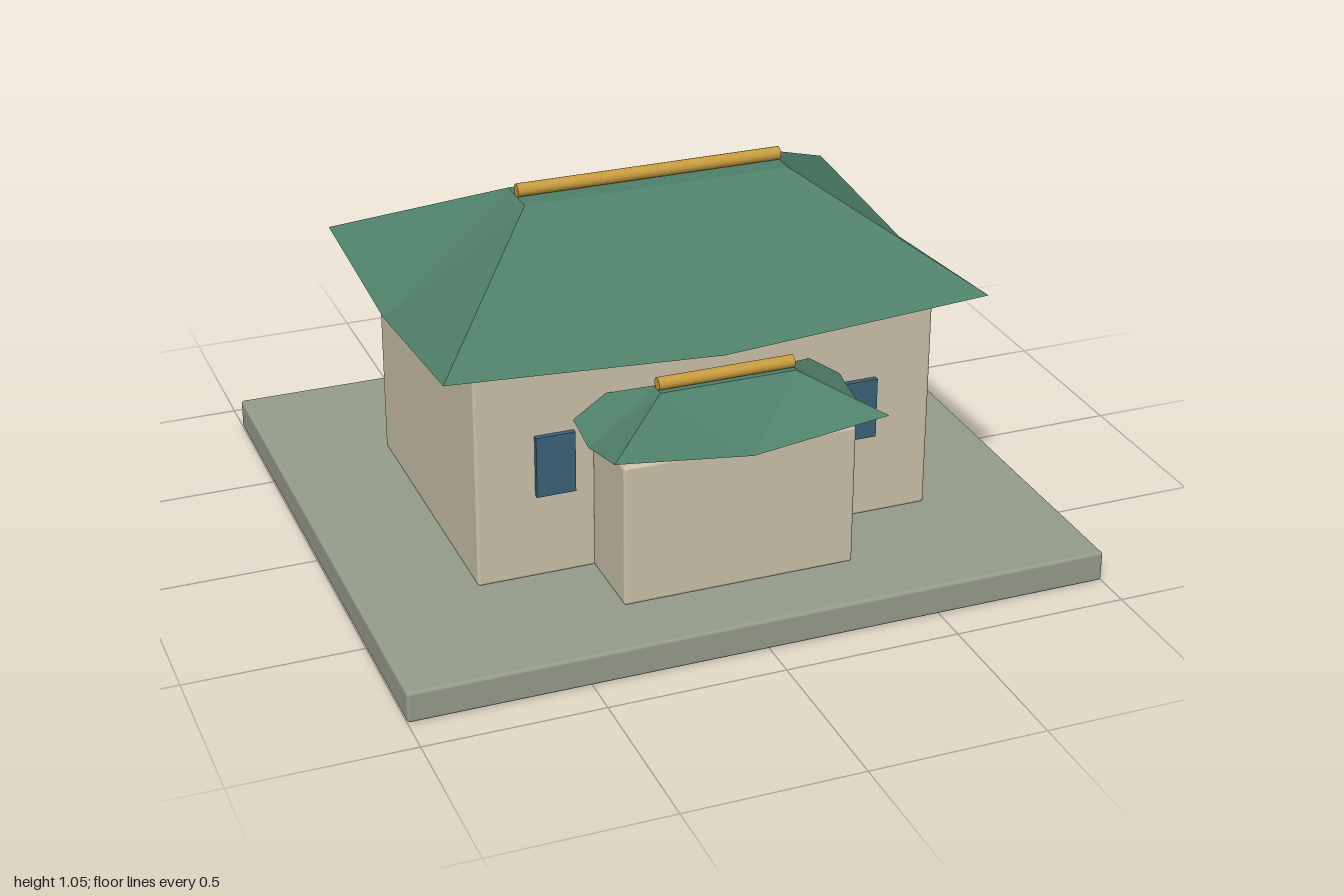
import * as THREE from 'three';
import { RoundedBoxGeometry } from 'three/addons/geometries/RoundedBoxGeometry.js';

const mat = (name, color, extra = {}) => {
  const m = new THREE.MeshStandardMaterial({ color, ...extra });
  m.name = name;
  return m;
};

// Hipped roof shell: eaves dip at mid-side and lift at the corners, flat cap on top
function roofGeometry(hx, hz, tx, tz, eaveY, cornerY, topY) {
  const corners = [[-1, 1], [1, 1], [1, -1], [-1, -1]];
  const pos = [];
  const tri = (...pts) => pts.forEach((p) => pos.push(...p));
  const low = ([sx, sz]) => [sx * hx, cornerY, sz * hz];
  const high = ([sx, sz]) => [sx * tx, topY, sz * tz];
  for (let i = 0; i < 4; i++) {
    const a = corners[i], b = corners[(i + 1) % 4];
    const mid = [(a[0] + b[0]) / 2 * hx, eaveY, (a[1] + b[1]) / 2 * hz];
    tri(low(a), mid, high(a));
    tri(mid, high(b), high(a));
    tri(mid, low(b), high(b));
  }
  const [p, q, r, s] = corners.map(high);
  tri(p, q, r);
  tri(p, r, s);
  const g = new THREE.BufferGeometry();
  g.setAttribute('position', new THREE.Float32BufferAttribute(pos, 3));
  g.computeVertexNormals();
  return g;
}

export function createModel() {
  const model = new THREE.Group();
  model.name = 'pavilion';

  const stone = mat('grey stone', 0x969c8b);
  const plaster = mat('tan plaster', 0xccc1aa);
  const tile = mat('green tile', 0x4f806a, { side: THREE.DoubleSide, flatShading: true });
  const gold = mat('gold', 0xc89c40);
  const glass = mat('blue glass', 0x3a6478);

  const add = (name, geometry, material, x, y, z) => {
    const mesh = new THREE.Mesh(geometry, material);
    mesh.name = name;
    mesh.position.set(x, y, z);
    model.add(mesh);
    return mesh;
  };
  // Softly rounded block standing on y
  const block = (name, w, h, d, y, z, material) =>
    add(name, new RoundedBoxGeometry(w, h, d, 2, 0.009), material, 0, y + h / 2, z);
  // Round bar lying along x
  const ridge = (name, length, r, y, z) => {
    add(name, new THREE.CylinderGeometry(r, r, length, 16), gold, 0, y, z).rotation.z = Math.PI / 2;
  };

  // Plinth and walls
  block('plinth', 2, 0.089, 1.777, 0, 0, stone);
  block('hallWalls', 1.333, 0.627, 0.889, 0.087, 0, plaster);
  block('porchWalls', 0.667, 0.415, 0.24, 0.087, 0.56, plaster);

  // Roofs with their ridge bars
  add('hallRoof', roofGeometry(0.778, 0.556, 0.389, 0.07, 0.716, 0.763, 1.014), tile, 0, 0, 0);
  ridge('hallRidge', 0.778, 0.019, 1.032, 0);
  add('porchRoof', roofGeometry(0.389, 0.2, 0.195, 0.025, 0.516, 0.563, 0.652), tile, 0, 0, 0.56);
  ridge('porchRidge', 0.39, 0.018, 0.668, 0.56);

  // Front windows
  for (const x of [-0.444, -0.222, 0.222, 0.444]) {
    add('window', new THREE.BoxGeometry(0.111, 0.178, 0.03), glass, x, 0.425, 0.445);
  }
  return model;
}
